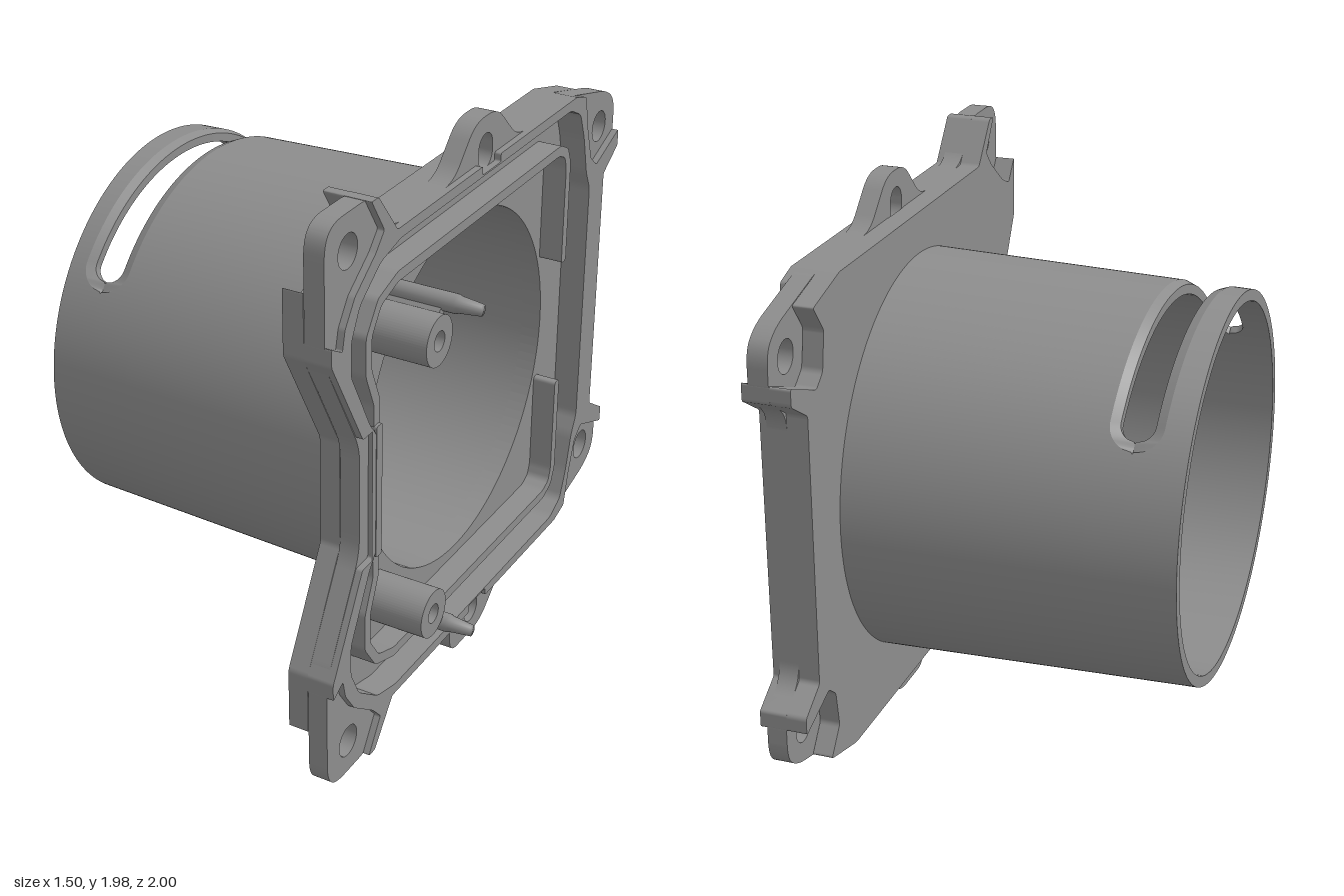
import * as THREE from 'three';
import { mergeGeometries } from 'three/addons/utils/BufferGeometryUtils.js';

const CY = 0.9925, CZ = 0.015; // bore axis runs along x through this point
const mat = new THREE.MeshStandardMaterial({ color: 0x8d8d8d });

const mirror = (pts) => pts.map(([z, y]) => [z, 2 * CY - y]).reverse();
const closed = (half) => [...half, ...mirror(half)];

// Closed outline from [z, y] points, corners rounded by r
function outline(pts, r, Type = THREE.Shape) {
  const p = pts.map(([z, y]) => new THREE.Vector2(-z, y));
  const s = new Type();
  p.forEach((c, i) => {
    const cut = (q) => c.clone().lerp(q, Math.min(0.48, r / c.distanceTo(q)));
    const a = cut(p[(i + p.length - 1) % p.length]);
    const b = cut(p[(i + 1) % p.length]);
    if (i) s.lineTo(a.x, a.y); else s.moveTo(a.x, a.y);
    s.quadraticCurveTo(c.x, c.y, b.x, b.y);
  });
  s.closePath();
  return s;
}

// Round or vertically stretched hole
function hole(z, y, r, stretch = 0) {
  const h = new THREE.Path();
  h.absarc(-z, y + stretch, r, 0, Math.PI, false);
  h.absarc(-z, y - stretch, r, Math.PI, Math.PI * 2, false);
  h.closePath();
  return h;
}

// Extrude a shape along x between x0 and x1
function slab(name, shape, x0, x1, holes = []) {
  shape.holes.push(...holes);
  const g = new THREE.ExtrudeGeometry(shape, { depth: x1 - x0, bevelEnabled: false, curveSegments: 32 });
  g.rotateY(Math.PI / 2).translate(x0, 0, 0);
  const m = new THREE.Mesh(g, mat);
  m.name = name;
  return m;
}

// Half width of a capsule of half length L and half width h, at distance s along it
function capsule(s, L, h) {
  const d = Math.max(0, Math.abs(s) - (L - h));
  return d < h ? Math.sqrt(h * h - d * d) : 0;
}

// Tapered tube with a tilted, chamfered slot on top and a drain hole below
function barrel() {
  const N = 720, X0 = -0.75, X1 = 0.37;
  const INNER = 0, SHOULDER = 1, OUTER = 2;
  const at = (x, level) => {
    const k = (x - X0) / (X1 - X0);
    return [x, level === INNER ? 0.632 - 0.007 * k : 0.67 + 0.03 * k - (level === SHOULDER ? 0.012 : 0)];
  };
  const onTop = (t) => Math.abs(t) < 1.3;
  const centre = (t) => (onTop(t) ? -0.588 - 0.018 * Math.sin(t) : -0.45);
  const width = (t, level) => {
    if (!onTop(t)) return capsule(0.67 * (Math.PI - Math.abs(t)), 0.06, 0.06);
    return level === OUTER ? capsule(0.67 * t, 0.69, 0.087) : capsule(0.67 * t, 0.655, 0.056);
  };
  const edge = (side, level) => (t) => at(centre(t) + side * width(t, level), level);
  const fixed = (x, level) => () => at(x, level);
  const strips = [];
  const strip = (a, b, isWall = false) => {
    const pos = [], idx = [];
    for (let i = 0; i < N; i++) {
      const t = -Math.PI + (i / N) * Math.PI * 2;
      for (const rail of [a, b]) {
        const [x, r] = rail(t);
        pos.push(x, CY + r * Math.cos(t), CZ + r * Math.sin(t));
      }
      const t2 = t + (Math.PI * 2) / N;
      if (isWall && !width(t, OUTER) && !width(t2, OUTER)) continue;
      const p = 2 * i, q = 2 * ((i + 1) % N);
      idx.push(p, q, p + 1, q, q + 1, p + 1);
    }
    const g = new THREE.BufferGeometry();
    g.setAttribute('position', new THREE.Float32BufferAttribute(pos, 3));
    g.setIndex(idx);
    g.computeVertexNormals();
    strips.push(g);
  };
  // End section, from the open rim to the cut
  strip(edge(-1, INNER), fixed(X0, INNER));
  strip(fixed(X0, INNER), fixed(X0, OUTER));
  strip(fixed(X0, OUTER), edge(-1, OUTER));
  strip(edge(-1, OUTER), edge(-1, SHOULDER), true);
  strip(edge(-1, SHOULDER), edge(-1, INNER), true);
  // Main section, from the cut to the flange
  strip(fixed(X1, INNER), edge(1, INNER));
  strip(edge(1, INNER), edge(1, SHOULDER), true);
  strip(edge(1, SHOULDER), edge(1, OUTER), true);
  strip(edge(1, OUTER), fixed(X1, OUTER));
  const m = new THREE.Mesh(mergeGeometries(strips), mat);
  m.name = 'barrel';
  return m;
}

// Screw boss with its locating pin and web; flip = -1 for the lower one
function boss(flip) {
  const g = new THREE.Group();
  g.name = flip > 0 ? 'upperBoss' : 'lowerBoss';
  const yB = CY + flip * 0.492, yP = CY + flip * 0.58;
  const ring = new THREE.Shape();
  ring.absarc(-0.585, yB, 0.083, 0, Math.PI * 2, false);
  g.add(slab('screwBoss', ring, 0.42, 0.65, [hole(0.585, yB, 0.033)]));
  const profile = [[0, 0], [0.031, 0], [0.031, 0.24], [0.027, 0.25], [0.019, 0.325], [0, 0.325]];
  const pin = new THREE.Mesh(
    new THREE.LatheGeometry(profile.map(([r, h]) => new THREE.Vector2(r, h)), 24).rotateZ(-Math.PI / 2), mat);
  pin.name = 'locatingPin';
  pin.position.set(0.42, yP, 0.495);
  const web = new THREE.Mesh(new THREE.BoxGeometry(0.2, 0.09, 0.03), mat);
  web.name = 'pinWeb';
  web.position.set(0.52, (yB + yP) / 2 + flip * 0.015, 0.52);
  web.rotation.x = -flip * 0.75;
  g.add(pin, web);
  return g;
}

export function createModel() {
  const model = new THREE.Group();
  model.name = 'flangedTube';
  model.add(barrel());

  // Outer silhouette with ears and the two edge tabs
  const left = [[0.80, 1.18], [1, 1.55], [1, 1.93], [0.95, 1.98], [0.74, 1.98], [0.62, 1.835]];
  const right = [[-0.62, 1.835], [-0.93, 1.755], [-1, 1.70], [-1, 1.53], [-0.89, 1.46]];
  const topTab = [[0.23, 1.835], [0.09, 1.98], [-0.06, 1.98], [-0.21, 1.835]];
  const lowTab = [[0.17, 1.835], [0.17, 1.96], [-0.06, 1.96], [-0.21, 1.835]];
  const full = [...left, ...topTab, ...right, ...mirror([...left, ...lowTab, ...right])];

  // Deep back plate with fins running out behind the ears
  const neck = [[0.87, 1.72], [0.75, 1.81], [0.70, 1.865], [0.775, 1.98], [0.735, 1.98], [0.62, 1.835]];
  const side = [[-0.77, 1.56], [-0.82, 1.52], [-1, 1.59], [-1, 1.53], [-0.89, 1.46]];
  const back = closed([
    [0.80, 1.18], [1, 1.55], [1, 1.77], [0.94, 1.69], ...neck,
    [-0.62, 1.835], [-0.82, 1.783], [-0.75, 1.69], ...side]);
  // Front rim, lowered at the waist and notched at the tabs
  const rim = closed([
    [0.748, 1.225], [0.82, 1.225], [1, 1.55], [1, 1.61], [0.94, 1.575], [0.925, 1.64], ...neck,
    [0.075, 1.835], [0.075, 1.806], [-0.05, 1.806], [-0.05, 1.835],
    [-0.62, 1.835], [-0.70, 1.81], [-0.73, 1.68], ...side]);
  const recess = closed([
    [0.735, 1.20], [0.775, 1.25], [0.89, 1.47], [0.89, 1.58], [0.84, 1.68], [0.72, 1.77], [0.60, 1.80],
    [-0.58, 1.80], [-0.66, 1.76], [-0.70, 1.66], [-0.735, 1.52], [-0.77, 1.45]]).reverse();
  const recessHole = (r) => outline(recess, r, THREE.Path);

  model.add(slab('flangePlate', outline(back, 0.012), 0.36, 0.43, [hole(CZ, CY, 0.625)]));
  model.add(slab('flangeRim', outline(rim, 0.008), 0.43, 0.523, [recessHole(0.02)]));
  const bolts = [0, 1].flatMap((low) => {
    const y = (v) => (low ? 2 * CY - v : v);
    return [hole(0.87, y(1.86), 0.055), hole(-0.875, y(1.64), 0.055),
      hole(CZ, y(1.862), 0.048, low ? 0 : 0.011)];
  });
  model.add(slab('mountingEars', outline(full, 0.06), 0.432, 0.5, [recessHole(0.02), ...bolts]));

  // Thin sealing ridge around the bore, open on the far side
  const ridge = [
    [-0.615, 1.23], [-0.615, 1.60], [-0.59, 1.66], [-0.53, 1.69], [0.60, 1.69], [0.72, 1.65],
    [0.79, 1.55], [0.79, 1.42], [0.74, 1.30], [0.74, 1.22],
    [0.705, 1.22], [0.705, 1.31], [0.755, 1.43], [0.755, 1.54], [0.70, 1.62], [0.60, 1.655],
    [-0.52, 1.655], [-0.565, 1.635], [-0.58, 1.59], [-0.58, 1.23]];
  model.add(slab('upperRidge', outline(ridge, 0.015), 0.425, 0.515));
  model.add(slab('lowerRidge', outline(mirror(ridge), 0.015), 0.425, 0.515));
  model.add(slab('sideRidge', outline([[0.74, 0.76], [0.74, 1.23], [0.705, 1.23], [0.705, 0.76]], 0.01), 0.425, 0.525));

  model.add(boss(1), boss(-1));
  return model;
}
